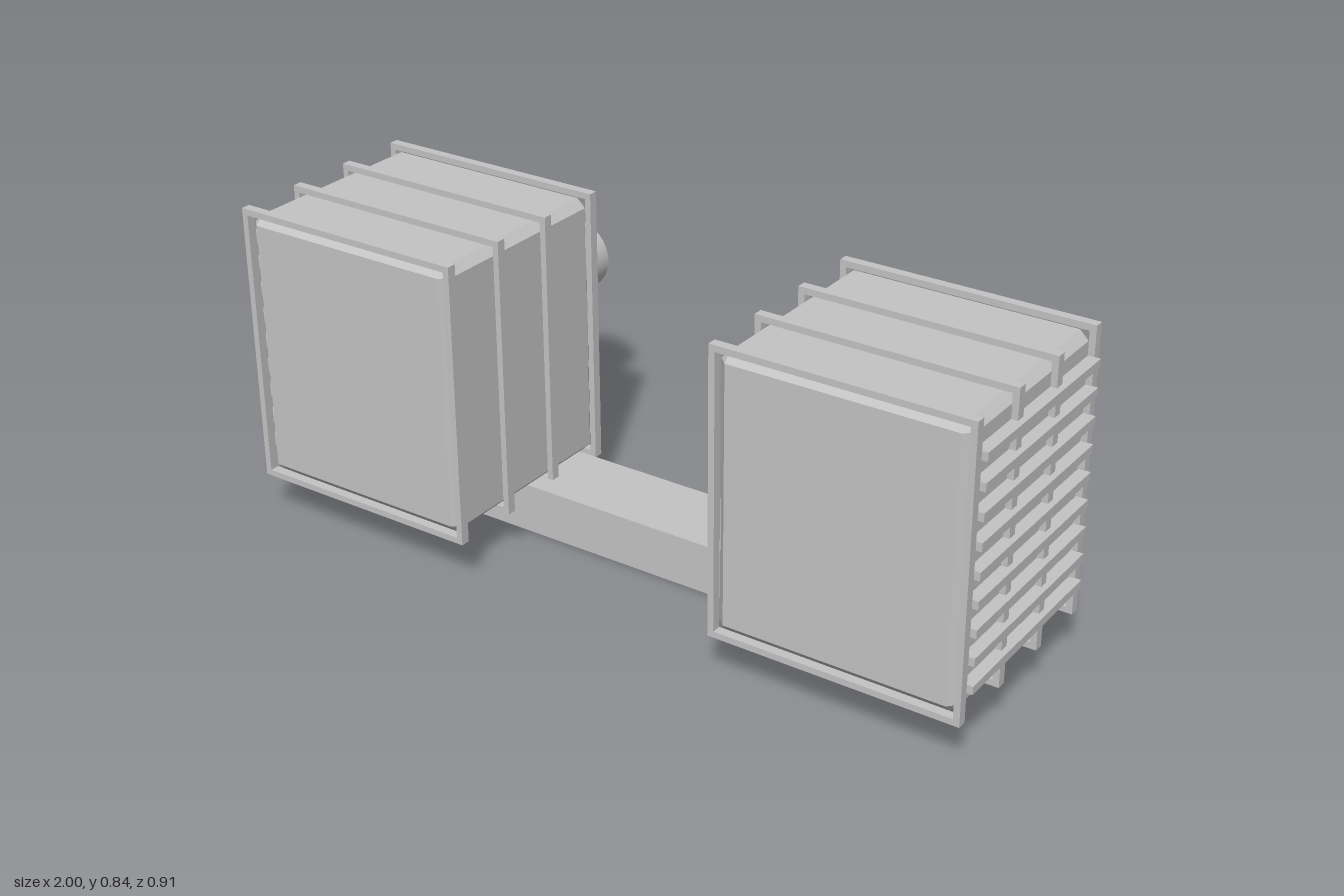
import * as THREE from 'three';
import { ConvexGeometry } from 'three/addons/geometries/ConvexGeometry.js';

const grey = new THREE.MeshStandardMaterial({ color: 0xc4c4c4 });
grey.name = 'light grey';

function add(parent, name, geometry, x, y, z) {
  const mesh = new THREE.Mesh(geometry, grey);
  mesh.name = name;
  mesh.position.set(x, y, z);
  parent.add(mesh);
  return mesh;
}

// Box with every edge cut at 45 degrees
function chamferedBox(w, h, d, c) {
  const points = [];
  for (const x of [-1, 1]) for (const y of [-1, 1]) for (const z of [-1, 1]) {
    const [a, b, e] = [x * w / 2, y * h / 2, z * d / 2];
    points.push(
      new THREE.Vector3(a, b - y * c, e - z * c),
      new THREE.Vector3(a - x * c, b, e - z * c),
      new THREE.Vector3(a - x * c, b - y * c, e));
  }
  return new ConvexGeometry(points);
}

// Rectangular ring that wraps around the casing
function frameGeometry(w, h, t, depth) {
  const rect = (Type, a, b) => {
    const p = new Type();
    p.moveTo(-a, -b);
    p.lineTo(a, -b);
    p.lineTo(a, b);
    p.lineTo(-a, b);
    p.closePath();
    return p;
  };
  const shape = rect(THREE.Shape, w / 2, h / 2);
  shape.holes.push(rect(THREE.Path, w / 2 - t, h / 2 - t));
  const geometry = new THREE.ExtrudeGeometry(shape, { depth, bevelEnabled: false });
  return geometry.translate(0, 0, -depth / 2);
}

export function createModel() {
  const model = new THREE.Group();
  model.name = 'twinCasings';

  // Beam joining the two casings
  add(model, 'beam', new THREE.BoxGeometry(1.375, 0.13, 0.215), -0.002, 0.065, 0.045);

  const casingGeometry = chamferedBox(0.604, 0.69, 0.552, 0.022);
  const frame = frameGeometry(0.635, 0.722, 0.016, 0.024);
  const slat = new THREE.BoxGeometry(0.036, 0.021, 0.515);
  const pipe = new THREE.CylinderGeometry(0.094, 0.094, 0.36, 40);
  pipe.rotateX(Math.PI / 2);

  for (const side of [-1, 1]) {
    const unit = new THREE.Group();
    unit.name = side < 0 ? 'rightCasing' : 'leftCasing';
    unit.position.x = side < 0 ? -0.671 : 0.668;
    model.add(unit);

    add(unit, 'casing', casingGeometry, 0, 0.475, 0.173);

    // Ribs around the casing, front to back
    for (const z of [0.442, 0.263, 0.085, -0.095]) add(unit, 'ribFrame', frame, 0, 0.476, z);

    // Horizontal slats on the outer face
    for (let i = 0; i < 9; i++) {
      add(unit, 'slat', slat, side * 0.982 - unit.position.x, 0.2 + i * 0.069, 0.173);
    }

    // Pipe out of the back
    add(unit, 'pipe', pipe, 0, 0.476, -0.275);
  }
  return model;
}
